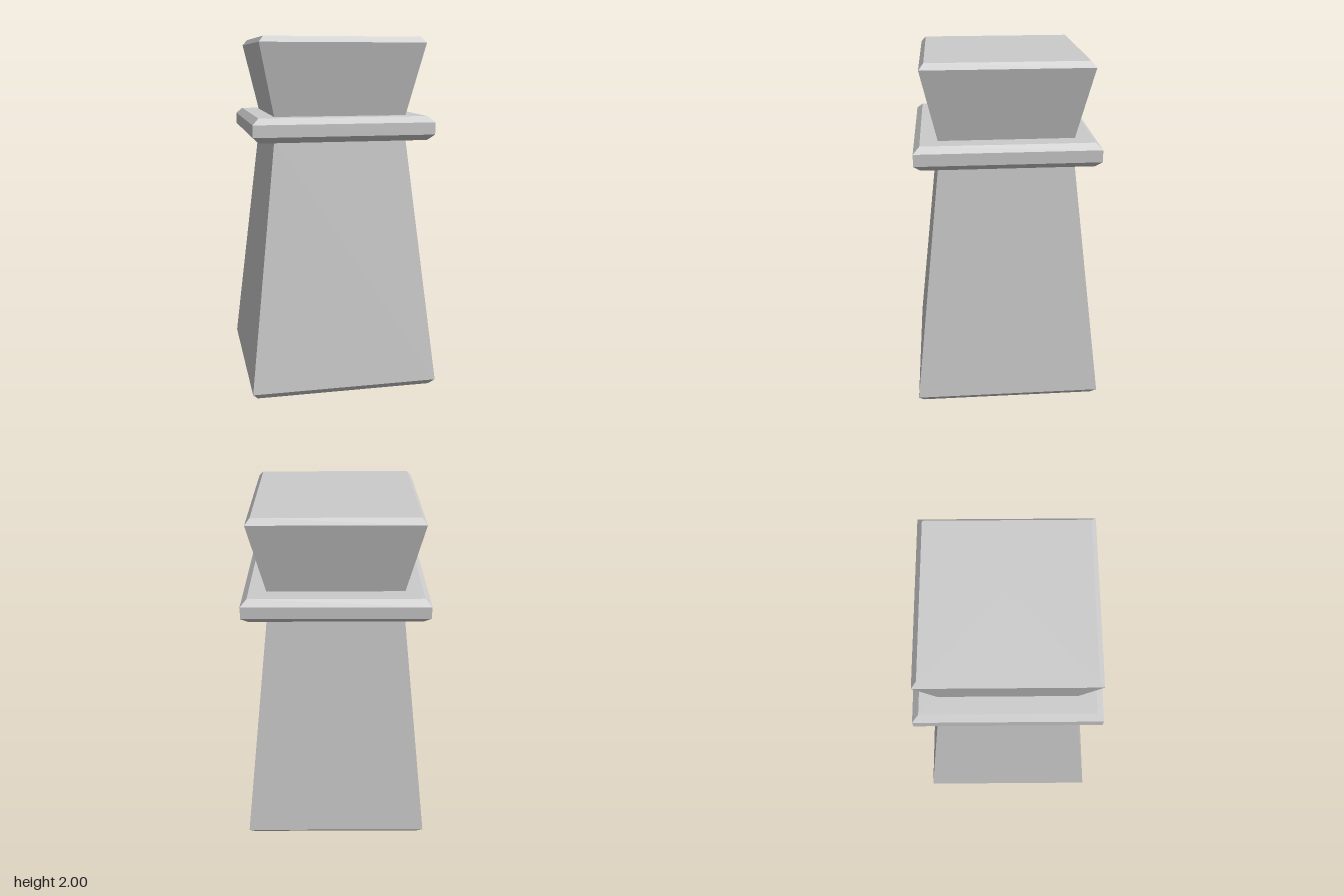
import * as THREE from 'three';

const material = new THREE.MeshStandardMaterial({ color: 0xcccccc, flatShading: true });

// Square solid from a profile of [half width, height], bottom to top, closed at both ends
function squareSolid(name, profile) {
  const points = [
    new THREE.Vector2(0, profile[0][1]),
    ...profile.map(([half, y]) => new THREE.Vector2(half * Math.SQRT2, y)),
    new THREE.Vector2(0, profile[profile.length - 1][1]),
  ];
  const mesh = new THREE.Mesh(new THREE.LatheGeometry(points, 4, Math.PI / 4), material);
  mesh.name = name;
  return mesh;
}

export function createModel() {
  const model = new THREE.Group();
  model.name = 'squarePawn';
  model.add(
    // Tapered body with a chamfered foot
    squareSolid('body', [[0.503, 0], [0.533, 0.035], [0.373, 1.45]]),
    // Collar chamfered above and below
    squareSolid('collar', [[0.47, 1.437], [0.505, 1.47], [0.505, 1.537], [0.47, 1.57]]),
    // Flared head with a chamfered top
    squareSolid('head', [[0.371, 1.56], [0.46, 1.968], [0.433, 2]]),
  );
  return model;
}
